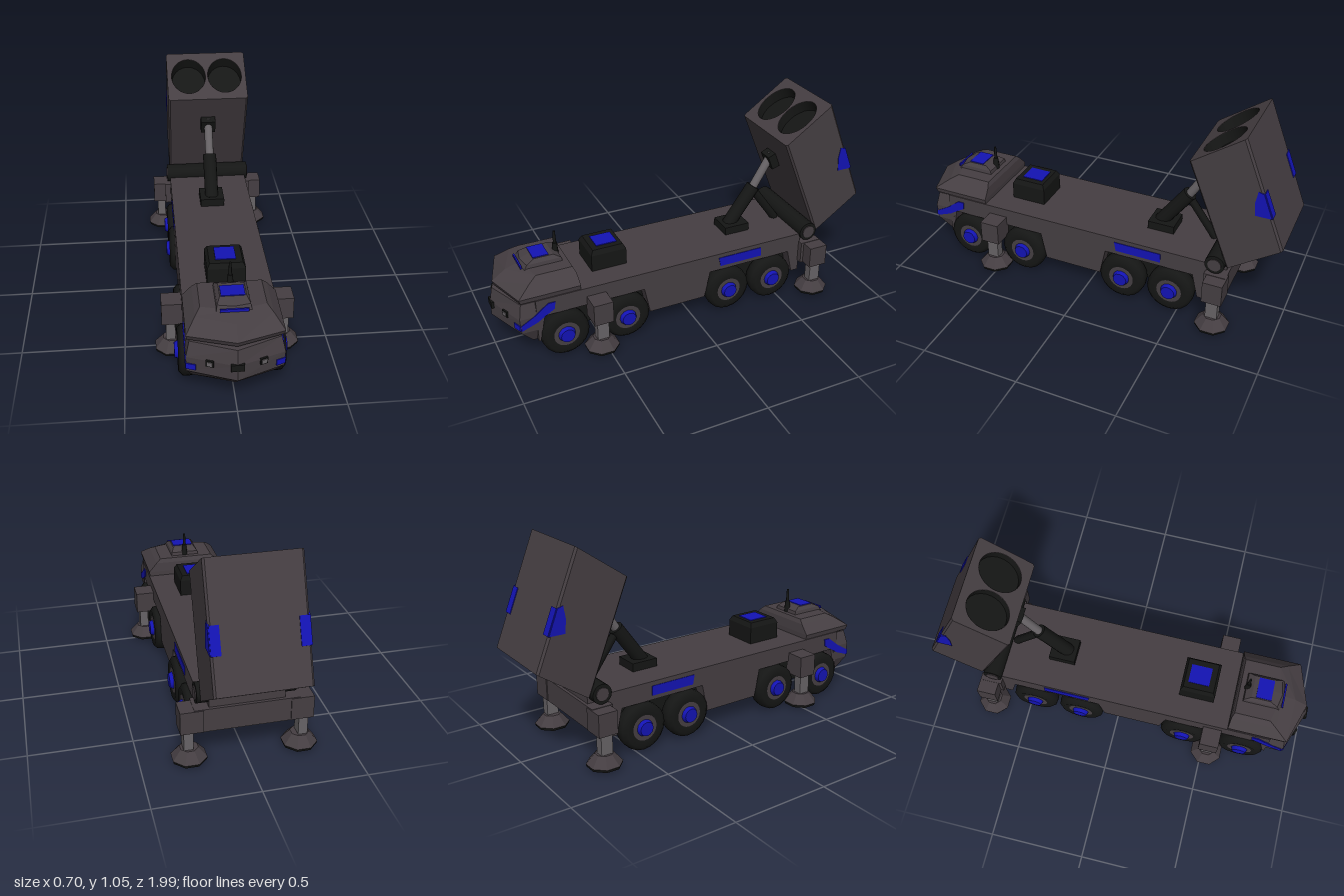
import * as THREE from 'three';

const mat = (name, color, side = THREE.FrontSide) => {
  const m = new THREE.MeshStandardMaterial({ color, side });
  m.name = name;
  return m;
};

export function createModel() {
  const root = new THREE.Group();
  root.name = 'launcherTruck';
  const body = mat('bodyGrey', 0x453e42);
  const black = mat('black', 0x151615, THREE.DoubleSide);
  const steel = mat('steel', 0x676366);
  const blue = mat('blue', 0x1313b4);

  const add = (name, geo, material, x = 0, y = 0, z = 0, parent = root) => {
    const mesh = new THREE.Mesh(geo, material);
    mesh.name = name;
    mesh.position.set(x, y, z);
    parent.add(mesh);
    return mesh;
  };
  const box = (w, h, d) => new THREE.BoxGeometry(w, h, d);
  const shapeOf = pts => new THREE.Shape(pts.map(p => new THREE.Vector2(p[0], p[1])));

  // Side outline given as [z, y], extruded across x
  const sideExtrude = (pts, width) => {
    const g = new THREE.ExtrudeGeometry(shapeOf(pts), { depth: width, bevelEnabled: false });
    return g.translate(0, 0, -width / 2).rotateY(-Math.PI / 2);
  };

  // Stacked plan outlines with a pointed nose: [y, halfWidth, backZ, sideZ, noseZ]
  const loft = layers => {
    const rings = layers.map(([y, w, b, s, n]) =>
      [[-w, y, b], [-w, y, s], [0, y, n], [w, y, s], [w, y, b]]);
    const pos = [];
    const tri = (...p) => p.forEach(v => pos.push(...v));
    for (let k = 0; k < rings.length - 1; k++) {
      const a = rings[k], c = rings[k + 1];
      for (let i = 0; i < 5; i++) {
        const j = (i + 1) % 5;
        tri(a[i], a[j], c[j]);
        tri(a[i], c[j], c[i]);
      }
    }
    const lo = rings[0], hi = rings[rings.length - 1];
    for (let i = 1; i < 4; i++) {
      tri(hi[0], hi[i], hi[i + 1]);
      tri(lo[0], lo[i + 1], lo[i]);
    }
    const g = new THREE.BufferGeometry();
    g.setAttribute('position', new THREE.Float32BufferAttribute(pos, 3));
    g.computeVertexNormals();
    return g;
  };

  // Cylinder between two [z, y] points on the centre plane
  const strut = (name, a, b, r, material, sides = 12) => {
    const p = new THREE.Vector3(0, a[1], a[0]), q = new THREE.Vector3(0, b[1], b[0]);
    const d = q.clone().sub(p);
    const m = add(name, new THREE.CylinderGeometry(r, r, d.length(), sides), material);
    m.position.copy(p).add(q).multiplyScalar(0.5);
    m.quaternion.setFromUnitVectors(new THREE.Vector3(0, 1, 0), d.normalize());
  };

  // Chassis with wheel arches and a dark core between the wheels
  add('chassis', sideExtrude([
    [0.83, 0.11], [0.83, 0.345], [-0.64, 0.345], [-0.64, 0.12], [-0.6, 0.12], [-0.57, 0.25],
    [-0.1, 0.25], [-0.07, 0.105], [0.24, 0.105], [0.27, 0.25], [0.79, 0.25], [0.82, 0.11]], 0.44), body);
  add('underbody', box(0.31, 0.15, 1.4), black, 0, 0.179, 0.1);
  add('rearCrossbeam', box(0.5, 0.12, 0.11), body, 0, 0.24, -0.69);
  add('rearDeck', box(0.36, 0.05, 0.1), body, 0, 0.32, -0.68);

  // Cab
  add('cabLower', loft([
    [0.105, 0.19, 0.81, 0.85, 0.92], [0.18, 0.22, 0.81, 0.91, 1.0],
    [0.26, 0.222, 0.81, 0.915, 1.0], [0.335, 0.205, 0.81, 0.9, 0.985]]), body);
  add('windscreenSlit', loft([
    [0.33, 0.2, 0.62, 0.88, 0.95], [0.36, 0.2, 0.62, 0.88, 0.95]]), black);
  add('cabUpper', loft([
    [0.345, 0.215, 0.6, 0.9, 0.97], [0.37, 0.22, 0.6, 0.91, 0.98],
    [0.42, 0.175, 0.605, 0.84, 0.91], [0.442, 0.15, 0.615, 0.8, 0.84]]), body);
  add('roofHatch', loft([
    [0.435, 0.08, 0.64, 0.835, 0.85], [0.46, 0.075, 0.645, 0.82, 0.835],
    [0.478, 0.06, 0.68, 0.78, 0.79]]), body);
  add('hatchPanel', box(0.11, 0.006, 0.08), blue, 0, 0.479, 0.742);
  add('hatchStripe', box(0.13, 0.014, 0.008), blue, 0, 0.447, 0.846);
  add('antennaBase', new THREE.CylinderGeometry(0.012, 0.018, 0.07, 8), black, 0, 0.47, 0.652);
  add('antenna', new THREE.CylinderGeometry(0.006, 0.009, 0.08, 8), black, 0, 0.53, 0.652);
  add('grille', box(0.06, 0.035, 0.02), black, 0, 0.25, 0.992);
  for (const s of [-1, 1]) {
    add('headlight', box(0.036, 0.032, 0.016), black, s * 0.118, 0.25, 0.954).rotation.y = s * 0.37;
    add('headlightLens', box(0.024, 0.02, 0.008), steel, s * 0.12, 0.25, 0.961).rotation.y = s * 0.37;
    add('cabFrontPatch', box(0.045, 0.03, 0.008), blue, s * 0.2, 0.212, 0.922).rotation.y = s * 0.37;
    add('cabSidePatch', sideExtrude([
      [0.91, 0.195], [0.91, 0.225], [0.84, 0.265], [0.77, 0.318], [0.735, 0.318], [0.74, 0.28],
      [0.83, 0.225]], 0.008), blue, s * 0.221);
    add('chassisPatch', sideExtrude([
      [-0.15, 0.322], [-0.4, 0.322], [-0.4, 0.272], [-0.16, 0.272]], 0.008), blue, s * 0.219);
  }

  // Deck equipment box
  const crate = new THREE.CylinderGeometry(0.08 * Math.SQRT2, 0.093 * Math.SQRT2, 0.025, 4)
    .rotateY(Math.PI / 4).toNonIndexed();
  crate.computeVertexNormals();
  add('deckBox', box(0.186, 0.09, 0.186), black, 0, 0.388, 0.405);
  add('deckBoxTop', crate, black, 0, 0.4455, 0.405);
  add('deckBoxPanel', box(0.1, 0.006, 0.11), blue, 0, 0.459, 0.4);

  // Wheels
  const tyreProfile = [[0.066, -0.04], [0.1, -0.045], [0.12, -0.028], [0.123, 0], [0.12, 0.028],
    [0.1, 0.045], [0.066, 0.04]].map(p => new THREE.Vector2(p[0], p[1]));
  for (const z of [0.695, 0.373, -0.2, -0.46]) {
    for (const s of [-1, 1]) {
      const wheel = new THREE.Group();
      wheel.name = 'wheel';
      wheel.position.set(s * 0.205, 0.128, z);
      wheel.rotation.z = -s * Math.PI / 2;
      root.add(wheel);
      add('tyre', new THREE.LatheGeometry(tyreProfile, 20), black, 0, 0, 0, wheel);
      add('rim', new THREE.CylinderGeometry(0.068, 0.068, 0.08, 16), body, 0, 0, 0, wheel);
      add('hub', new THREE.CylinderGeometry(0.036, 0.044, 0.02, 12), blue, 0, 0.05, 0, wheel);
    }
  }

  // Outriggers
  const foot = new THREE.CylinderGeometry(0.045, 0.088, 0.05, 8).rotateY(Math.PI / 8).toNonIndexed();
  foot.computeVertexNormals();
  for (const z of [0.525, -0.7]) {
    for (const s of [-1, 1]) {
      add('outriggerArm', box(0.11, 0.115, 0.1), body, s * 0.262, 0.24, z);
      add('outriggerLeg', box(0.045, 0.13, 0.06), steel, s * 0.275, 0.13, z);
      add('outriggerFoot', foot, body, s * 0.268, 0.055, z);
      add('outriggerPad', new THREE.CylinderGeometry(0.088, 0.084, 0.014, 8).rotateY(Math.PI / 8),
        black, s * 0.268, 0.023, z);
    }
  }

  // Lifting ram and brace
  add('ramBase', box(0.13, 0.045, 0.14), black, 0, 0.365, -0.34);
  strut('ramCylinder', [-0.32, 0.37], [-0.465, 0.57], 0.037, black);
  strut('ramRod', [-0.46, 0.56], [-0.57, 0.74], 0.023, steel);
  strut('ramBrace', [-0.455, 0.56], [-0.61, 0.345], 0.022, black, 6);
  add('ramBracket', box(0.08, 0.08, 0.07), black, 0, 0.715, -0.575).rotation.x = 0.38;
  add('pivotRoller', new THREE.CylinderGeometry(0.05, 0.05, 0.47, 16).rotateZ(Math.PI / 2),
    black, 0, 0.355, -0.68);
  add('pivotCover', new THREE.CylinderGeometry(0.034, 0.034, 0.48, 12).rotateZ(Math.PI / 2),
    body, 0, 0.355, -0.68);

  // Launch canister, leaning forward with slanted ends
  const canister = new THREE.Group();
  canister.name = 'launchCanister';
  root.add(canister);
  const lean = new THREE.Matrix4().makeBasis(new THREE.Vector3(1, 0, 0),
    new THREE.Vector3(0, 0.929, 0.372), new THREE.Vector3(0, -0.567, 0.823)).setPosition(0, 0.7, -0.754);
  const part = (name, geo, material) => add(name, geo.applyMatrix4(lean), material, 0, 0, 0, canister);
  const W = 0.22, D = 0.156, C = 0.01;
  const section = () => shapeOf([[-W + C, -D], [W - C, -D], [W, -D + C], [W, D - C], [W - C, D],
    [-W + C, D], [-W, D - C], [-W, -D + C]]);
  const upright = (shape, y0, y1) => new THREE.ExtrudeGeometry(shape,
    { depth: y1 - y0, bevelEnabled: false, curveSegments: 24 }).rotateX(-Math.PI / 2).translate(0, y0, 0);
  part('canisterBody', upright(section(), -0.292, 0.232), body);
  const mouth = section();
  for (const s of [-1, 1]) {
    mouth.holes.push(new THREE.Path().absellipse(s * 0.101, 0, 0.095, 0.114, 0, Math.PI * 2, true));
    const scaled = g => g.scale(0.094, 1, 0.113).translate(s * 0.101, 0, 0);
    part('tubeLining', scaled(new THREE.CylinderGeometry(1, 1, 0.058, 24, 1, true).translate(0, 0.262, 0)), black);
    part('tubeFloor', scaled(new THREE.CircleGeometry(1, 24).rotateX(-Math.PI / 2).translate(0, 0.236, 0)), black);
    part('canisterRearPatch', box(0.045, 0.13, 0.008).translate(s * 0.196, -0.053, -D), blue);
    add('canisterSidePatch', sideExtrude([
      [-0.85, 0.81], [-0.878, 0.8], [-0.925, 0.68], [-0.845, 0.68], [-0.84, 0.75]], 0.008),
    blue, s * 0.219, 0, 0, canister);
  }
  part('canisterMouth', upright(mouth, 0.232, 0.292), body);

  return root;
}
